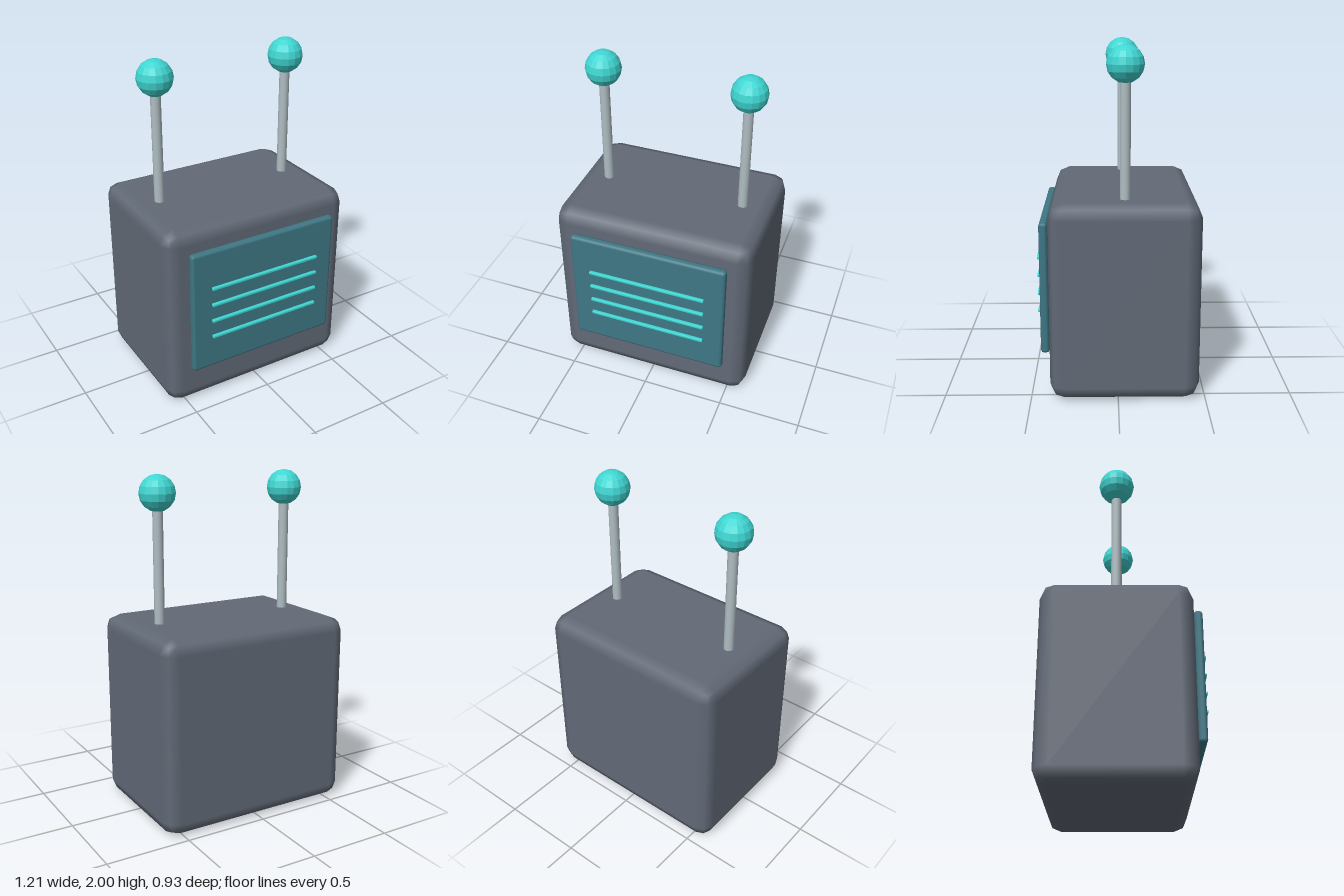
import * as THREE from 'three';

const material = (name, color, flatShading = false) => {
  const m = new THREE.MeshStandardMaterial({ color, flatShading });
  m.name = name;
  return m;
};

// Box with two-step bevelled edges and smooth normals
function bevelBox(w, h, d, r) {
  const geo = new THREE.BoxGeometry(1, 1, 1, 3, 3, 3);
  const pos = geo.attributes.position;
  const nor = geo.attributes.normal;
  const p = new THREE.Vector3();
  const dir = new THREE.Vector3();
  const step = (v) => (Math.abs(v) > 0.4 ? Math.sign(v) : 0);
  for (let i = 0; i < pos.count; i++) {
    p.fromBufferAttribute(pos, i);
    dir.set(step(p.x), step(p.y), step(p.z)).normalize();
    pos.setXYZ(i,
      Math.sign(p.x) * (w / 2 - r) + dir.x * r,
      Math.sign(p.y) * (h / 2 - r) + dir.y * r,
      Math.sign(p.z) * (d / 2 - r) + dir.z * r);
    nor.setXYZ(i, dir.x, dir.y, dir.z);
  }
  return geo;
}

export function createModel() {
  const model = new THREE.Group();
  model.name = 'antennaBox';

  const slate = material('slate grey', 0x626a77);
  const darkTeal = material('dark teal', 0x3e7885);
  const teal = material('bright teal', 0x3fd6d2, true);
  const metal = material('light metal', 0xb0bec3);

  const add = (name, geo, mat, x, y, z) => {
    const mesh = new THREE.Mesh(geo, mat);
    mesh.name = name;
    mesh.position.set(x, y, z);
    model.add(mesh);
  };

  // Housing
  add('body', bevelBox(1.214, 1.15, 0.857, 0.085), slate, 0, 0.575, -0.0375);

  // Front panel, floating just ahead of the housing
  add('frontPanel', bevelBox(0.96, 0.775, 0.05, 0.018), darkTeal, 0, 0.635, 0.42);

  // Grille bars
  for (let i = 0; i < 4; i++) {
    add('grilleBar' + (i + 1), bevelBox(0.72, 0.019, 0.021, 0.005), teal, 0, 0.463 + i * 0.108, 0.4545);
  }

  // Antennas with ball tips
  for (const [side, x] of [['left', 0.428], ['right', -0.428]]) {
    add(side + 'AntennaRod', new THREE.CylinderGeometry(0.03, 0.03, 0.72, 12), metal, x, 1.47, -0.04);
    add(side + 'AntennaBall', new THREE.SphereGeometry(0.105, 16, 8), teal, x, 1.895, -0.04);
  }

  return model;
}
